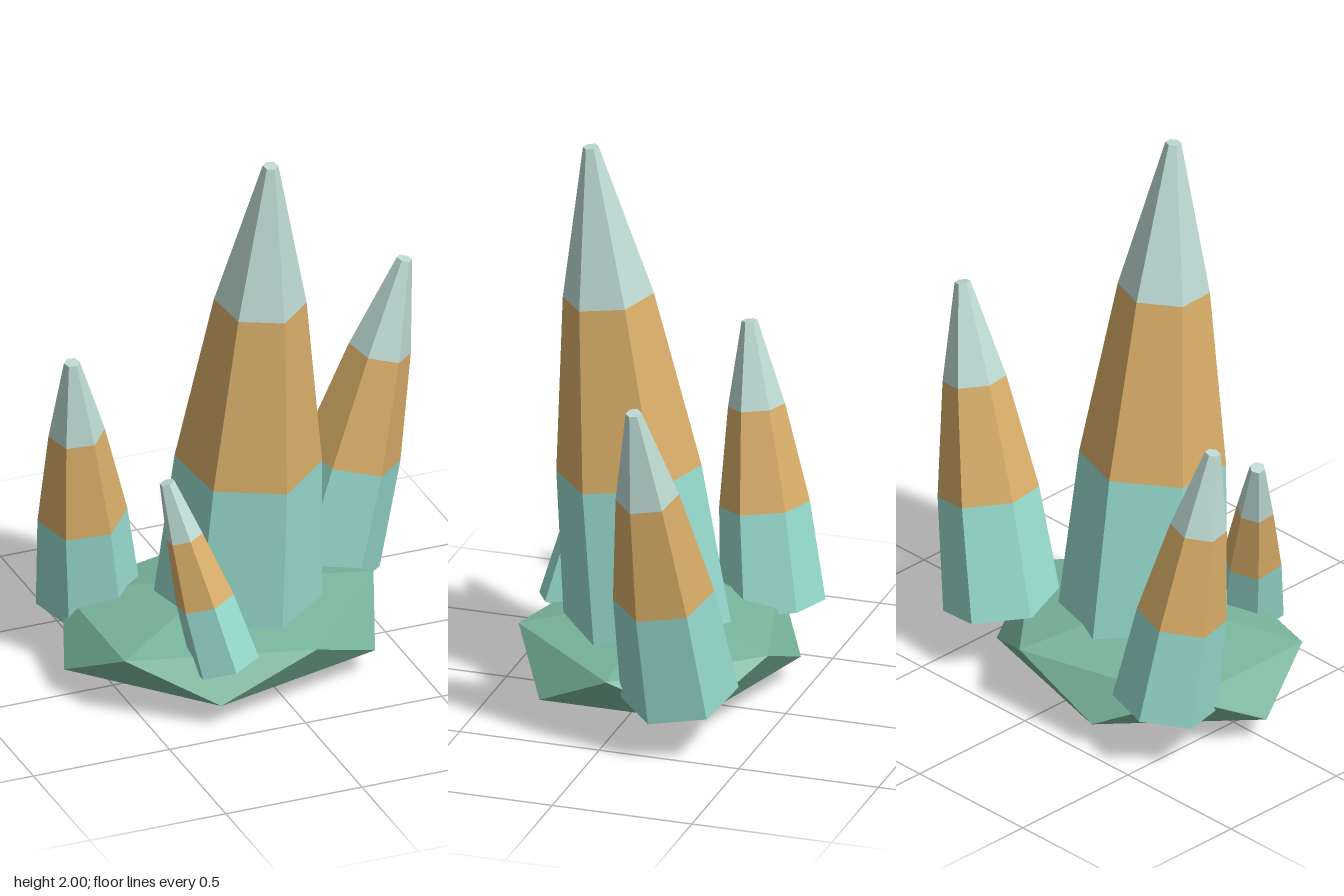
import * as THREE from 'three';

const makeMaterial = (name, color) => {
  const m = new THREE.MeshStandardMaterial({ color });
  m.name = name;
  return m;
};

// Split faces so every facet gets its own flat normal
function faceted(geometry) {
  const g = geometry.index ? geometry.toNonIndexed() : geometry;
  g.computeVertexNormals();
  return g;
}

export function createModel() {
  const model = new THREE.Group();
  model.name = 'crystalCluster';

  const rockGreen = makeMaterial('rock green', 0x78b49b);
  const teal = makeMaterial('teal', 0x96dacd);
  const amber = makeMaterial('amber', 0xd9ae69);
  const pale = makeMaterial('pale tip', 0xbedbd3);

  // Rock: icosahedron stood on a corner and flattened
  const rockGeometry = new THREE.IcosahedronGeometry(1, 0);
  rockGeometry.rotateZ(-Math.atan(2 / (1 + Math.sqrt(5))));
  rockGeometry.scale(0.635, 0.1625, 0.525);
  const rock = new THREE.Mesh(faceted(rockGeometry), rockGreen);
  rock.name = 'rockBase';
  rock.position.set(-0.107, 0.1625, -0.0125);
  model.add(rock);

  // Crystal: six-sided shaft in three colour bands, leaning from base to tip
  function addCrystal(name, base, tip, radius, spinDegrees) {
    const from = new THREE.Vector3(...base);
    const axis = new THREE.Vector3(...tip).sub(from);
    const length = axis.length();
    const tipRadius = 0.027;
    const bands = [
      ['lowerBand', teal, [[0, 0], [radius, 0], [radius * 0.86, 0.35]]],
      ['middleBand', amber, [[radius * 0.86, 0.35], [radius * 0.54, 0.7]]],
      ['tipBand', pale, [[radius * 0.54, 0.7], [tipRadius, 1], [0, 1]]],
    ];
    const crystal = new THREE.Group();
    crystal.name = name;
    for (const [bandName, material, profile] of bands) {
      const points = profile.map(([r, h]) => new THREE.Vector2(r, h * length));
      const geometry = new THREE.LatheGeometry(points, 6, THREE.MathUtils.degToRad(spinDegrees));
      const band = new THREE.Mesh(faceted(geometry), material);
      band.name = bandName;
      crystal.add(band);
    }
    crystal.position.copy(from);
    crystal.quaternion.setFromUnitVectors(new THREE.Vector3(0, 1, 0), axis.normalize());
    model.add(crystal);
  }

  addCrystal('mainCrystal', [-0.05, 0.18, 0.005], [-0.005, 1.997, 0.2], 0.292, 9.5);
  addCrystal('leftCrystal', [0.37, 0.195, -0.245], [0.64, 1.326, -0.17], 0.202, 15);
  addCrystal('rightCrystal', [-0.47, 0.19, -0.295], [-0.58, 1.172, -0.175], 0.18, 16);
  addCrystal('frontCrystal', [-0.23, 0.2, 0.345], [-0.393, 0.868, 0.22], 0.12, -3);

  return model;
}
